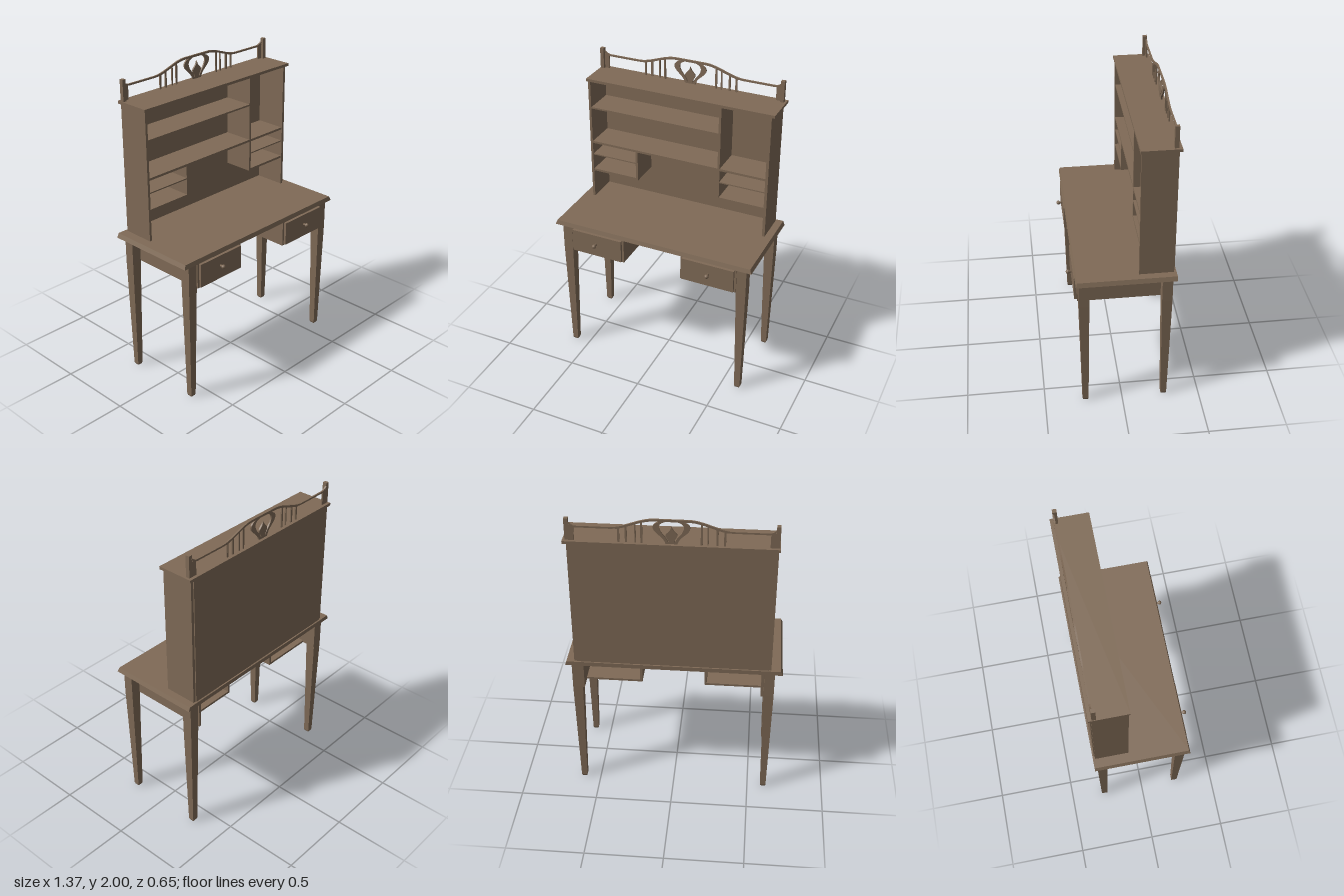
import * as THREE from 'three';

const wood = new THREE.MeshStandardMaterial({ color: 0x7f6a56 });
wood.name = 'brown wood';

export function createModel() {
  const model = new THREE.Group();
  model.name = 'writingDesk';

  const add = (name, geometry, parent = model) => {
    const mesh = new THREE.Mesh(geometry, wood);
    mesh.name = name;
    parent.add(mesh);
    return mesh;
  };

  // Box given by its limits on each axis
  const box = (name, x0, x1, y0, y1, z0, z1, parent) => {
    const g = new THREE.BoxGeometry(x1 - x0, y1 - y0, z1 - z0);
    g.translate((x0 + x1) / 2, (y0 + y1) / 2, (z0 + z1) / 2);
    return add(name, g, parent);
  };

  // Box whose bottom and top rectangles [x0, x1, z0, z1] differ
  const taperedBox = (name, y0, y1, bottom, top, parent) => {
    const g = new THREE.BoxGeometry(1, 1, 1);
    const p = g.attributes.position;
    for (let i = 0; i < p.count; i++) {
      const r = p.getY(i) > 0 ? top : bottom;
      p.setXYZ(i, r[p.getX(i) > 0 ? 1 : 0], p.getY(i) > 0 ? y1 : y0, r[p.getZ(i) > 0 ? 3 : 2]);
    }
    g.computeVertexNormals();
    return add(name, g, parent);
  };

  // Desktop with sloping front and side edges
  taperedBox('desktop', 0.957, 0.985, [-0.685, 0.68, -0.325, 0.288], [-0.673, 0.669, -0.325, 0.28]);

  // Legs: square block on top, taper below, small chamfered foot
  const square = (x, z, h) => [x - h, x + h, z - h, z + h];
  for (const x of [-0.606, 0.611]) {
    for (const z of [0.238, -0.272]) {
      const leg = new THREE.Group();
      leg.name = z > 0 ? 'frontLeg' : 'backLeg';
      model.add(leg);
      box('legBlock', x - 0.032, x + 0.032, 0.78, 0.957, z - 0.032, z + 0.032, leg);
      taperedBox('legTaper', 0.012, 0.78, square(x, z, 0.019), square(x, z, 0.032), leg);
      taperedBox('foot', 0, 0.012, square(x, z, 0.015), square(x, z, 0.019), leg);
    }
  }

  // Drawer cases, open at the back; the outer wall runs on to the back edge
  const knobProfile = [[0, 0], [0.008, 0], [0.006, 0.014], [0.013, 0.02], [0.014, 0.028], [0.009, 0.036], [0, 0.038]]
    .map(([r, y]) => new THREE.Vector2(r, y));
  for (const s of [-1, 1]) {
    const unit = new THREE.Group();
    unit.name = s < 0 ? 'rightDrawerUnit' : 'leftDrawerUnit';
    unit.position.x = 0.005;
    model.add(unit);
    const span = (name, a, b, y0, y1, z0, z1) =>
      box(name, Math.min(s * a, s * b), Math.max(s * a, s * b), y0, y1, z0, z1, unit);
    span('caseOuterWall', 0.56, 0.575, 0.782, 0.957, -0.315, 0.275);
    span('caseInnerWall', 0.199, 0.214, 0.782, 0.957, -0.225, 0.275);
    span('caseFloor', 0.214, 0.56, 0.782, 0.796, -0.225, 0.275);
    span('drawerFront', 0.212, 0.562, 0.79, 0.945, 0.26, 0.291);
    const knob = add('drawerKnob', new THREE.LatheGeometry(knobProfile, 16), unit);
    knob.rotation.x = Math.PI / 2;
    knob.position.set(s * 0.394, 0.876, 0.29);
  }

  // Hutch carcass
  const hutch = new THREE.Group();
  hutch.name = 'hutch';
  model.add(hutch);
  box('rightSide', -0.613, -0.597, 0.985, 1.826, -0.31, -0.098, hutch);
  box('leftSide', 0.604, 0.622, 0.985, 1.826, -0.31, -0.098, hutch);
  box('backPanel', -0.597, 0.604, 0.985, 1.826, -0.316, -0.303, hutch);
  box('hutchTop', -0.621, 0.644, 1.826, 1.844, -0.327, -0.09, hutch);

  // Shelves and dividers: [name, x0, x1, y0, y1]
  const boards = [
    ['upperShelf', -0.597, 0.285, 1.634, 1.645],
    ['middleShelf', -0.597, 0.604, 1.385, 1.4],
    ['upperDivider', 0.285, 0.3, 1.4, 1.826],
    ['rightCubbyWall', -0.287, -0.272, 1.178, 1.385],
    ['rightCubbyFloor', -0.597, -0.287, 1.178, 1.193],
    ['rightCubbyShelf', -0.597, -0.287, 1.298, 1.306],
    ['leftCubbyWall', 0.285, 0.3, 1.178, 1.385],
    ['leftCubbyFloor', 0.3, 0.604, 1.178, 1.193],
    ['leftCubbyShelf', 0.3, 0.604, 1.298, 1.306],
  ];
  for (const [name, x0, x1, y0, y1] of boards) box(name, x0, x1, y0, y1, -0.303, -0.102, hutch);

  // Crest: corner posts, curved rail, spindles and a pierced ornament
  const crest = new THREE.Group();
  crest.name = 'crest';
  crest.position.x = 0.006;
  model.add(crest);
  const plate = (name, shape) => {
    const g = new THREE.ExtrudeGeometry(shape, { depth: 0.01, bevelEnabled: false, curveSegments: 16 });
    g.translate(0, 0, -0.308);
    return add(name, g, crest);
  };
  for (const s of [-1, 1]) {
    const x = s * 0.611;
    box('cornerPost', x - 0.012, x + 0.012, 1.844, 1.98, -0.307, -0.281, crest);
    box('railEnd', s * 0.585 - 0.017, s * 0.585 + 0.017, 1.844, 1.94, -0.307, -0.298, crest);
  }

  // Rail: half outline traced along the top, mirrored, then back underneath
  const railTop = (x) => {
    const a = Math.abs(x);
    if (a > 0.56) return 1.938 + 0.024 * ((a - 0.56) / 0.042) ** 2;
    const t = THREE.MathUtils.smoothstep(a, 0.1, 0.36);
    return 1.938 + 0.061 * (1 - t);
  };
  const upper = [], lower = [];
  for (let i = 0; i <= 80; i++) {
    const x = -0.602 + (1.204 * i) / 80;
    upper.push(new THREE.Vector2(x, railTop(x)));
    lower.unshift(new THREE.Vector2(x, railTop(x) - (Math.abs(x) < 0.32 ? 0.014 : 0.011)));
  }
  plate('crestRail', new THREE.Shape([...lower, ...upper].reverse()));

  for (const s of [-1, 1]) {
    for (const a of [0.308, 0.264, 0.21, 0.174]) {
      const x = s * a, w = a === 0.21 ? 0.004 : 0.006;
      box('spindle', x - w, x + w, 1.844, railTop(x) - 0.008, -0.307, -0.299, crest);
    }
    // Crescent beside the bud
    const c = new THREE.Shape();
    c.moveTo(s * 0.035, 1.99);
    c.bezierCurveTo(s * 0.1, 1.985, s * 0.125, 1.955, s * 0.095, 1.92);
    c.bezierCurveTo(s * 0.075, 1.895, s * 0.045, 1.885, s * 0.035, 1.844);
    c.lineTo(s * 0.018, 1.844);
    c.bezierCurveTo(s * 0.025, 1.885, s * 0.055, 1.9, s * 0.065, 1.925);
    c.bezierCurveTo(s * 0.08, 1.955, s * 0.07, 1.975, s * 0.035, 1.985);
    plate('ornamentCrescent', c);
  }
  const bud = new THREE.Shape();
  bud.moveTo(-0.024, 1.844);
  bud.lineTo(0.024, 1.844);
  bud.bezierCurveTo(0.006, 1.87, 0.034, 1.88, 0.034, 1.9);
  bud.bezierCurveTo(0.03, 1.92, 0.008, 1.92, 0, 1.956);
  bud.bezierCurveTo(-0.008, 1.92, -0.03, 1.92, -0.034, 1.9);
  bud.bezierCurveTo(-0.034, 1.88, -0.006, 1.87, -0.024, 1.844);
  plate('ornamentBud', bud);

  return model;
}
